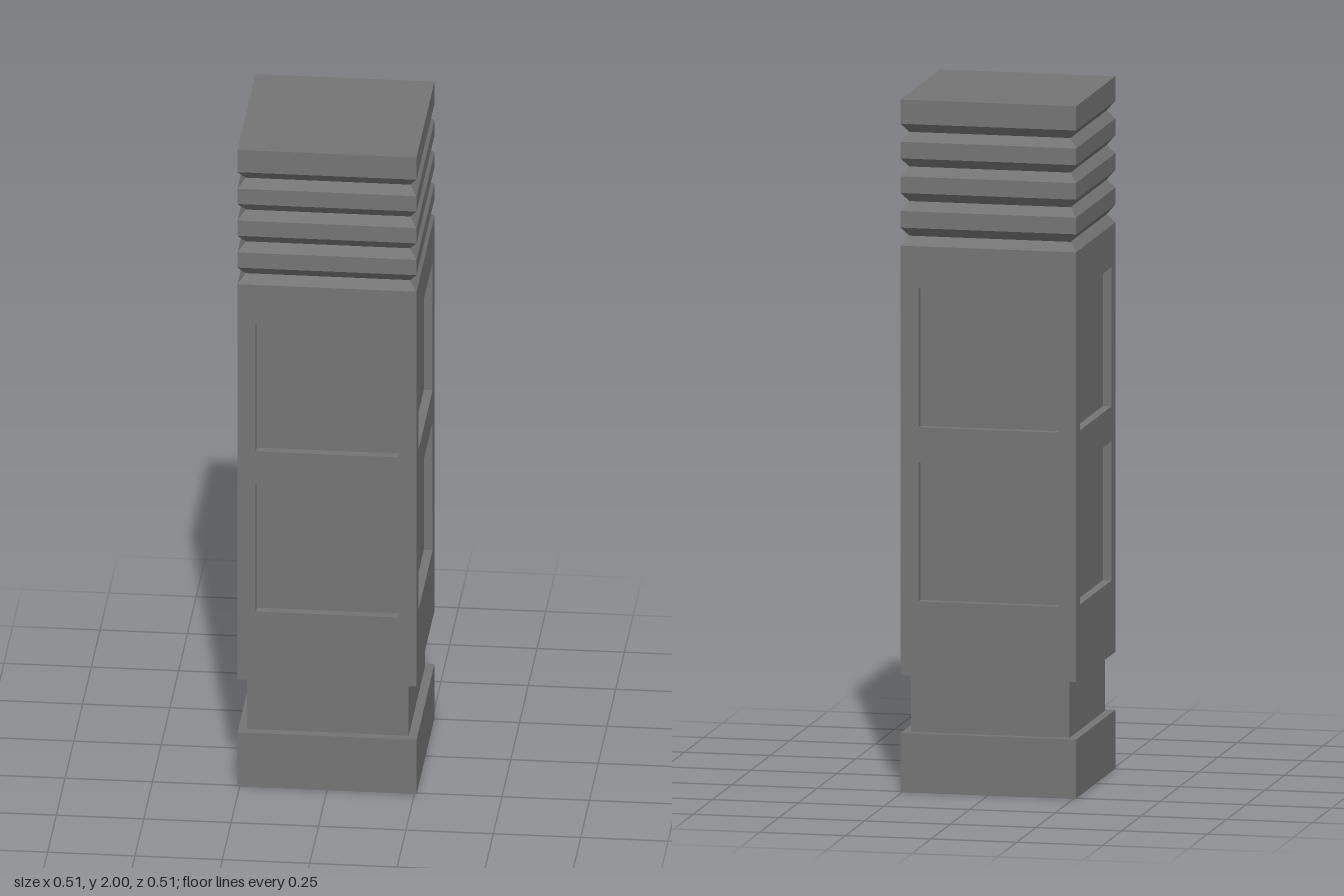
import * as THREE from 'three';

const HALF = 0.256;   // half width of the pillar
const INSET = 0.025;  // depth of the neck and panels
const GROOVE = 0.021; // depth of the crown grooves
const BODY_BOTTOM = 0.337, BODY_TOP = 1.578;

const material = new THREE.MeshStandardMaterial({ color: 0x757575, flatShading: true });

function addMesh(parent, name, geometry) {
  const mesh = new THREE.Mesh(geometry, material);
  mesh.name = name;
  parent.add(mesh);
  return mesh;
}

function addBlock(parent, name, half, y0, y1) {
  const block = addMesh(parent, name, new THREE.BoxGeometry(half * 2, y1 - y0, half * 2));
  block.position.y = (y0 + y1) / 2;
}

function rectangle(path, half, y0, y1) {
  path.moveTo(-half, y0);
  path.lineTo(half, y0);
  path.lineTo(half, y1);
  path.lineTo(-half, y1);
  path.closePath();
  return path;
}

// One wall with two panel openings, its ends mitred to meet the next wall
function wallGeometry() {
  const shape = rectangle(new THREE.Shape(), HALF, BODY_BOTTOM, BODY_TOP);
  for (const y of [0.552, 1.055]) {
    shape.holes.push(rectangle(new THREE.Path(), 0.204, y, y + 0.402));
  }
  const geometry = new THREE.ExtrudeGeometry(shape, { depth: INSET, bevelEnabled: false });
  const pos = geometry.attributes.position;
  for (let i = 0; i < pos.count; i++) {
    const x = pos.getX(i);
    if (Math.abs(x) > HALF - 0.001 && pos.getZ(i) < INSET / 2) {
      pos.setX(i, Math.sign(x) * (HALF - INSET));
    }
  }
  geometry.translate(0, 0, HALF - INSET);
  geometry.computeVertexNormals();
  return geometry;
}

// Square crown with four V-shaped grooves
function crownGeometry() {
  const profile = [];
  const add = (half, y) => profile.push(new THREE.Vector2(half * Math.SQRT2, y));
  for (let i = 0; i < 4; i++) {
    const y = BODY_TOP + i * 0.1;
    add(HALF, y);
    add(HALF - GROOVE, y + 0.026);
    add(HALF, y + 0.052);
  }
  add(HALF, 2);
  add(0, 2);
  const geometry = new THREE.LatheGeometry(profile, 4).toNonIndexed();
  geometry.rotateY(Math.PI / 4);
  geometry.computeVertexNormals();
  return geometry;
}

export function createModel() {
  const pillar = new THREE.Group();
  pillar.name = 'pillar';

  addBlock(pillar, 'base', HALF, 0, 0.17);
  addBlock(pillar, 'neck', HALF - INSET, 0.17, BODY_BOTTOM);

  // Body: a core forming the recessed panels, wrapped by four walls
  const body = new THREE.Group();
  body.name = 'body';
  pillar.add(body);
  addBlock(body, 'panelCore', HALF - INSET, BODY_BOTTOM, BODY_TOP);
  const wall = wallGeometry();
  ['frontWall', 'leftWall', 'backWall', 'rightWall'].forEach((name, i) => {
    addMesh(body, name, wall).rotation.y = i * Math.PI / 2;
  });

  addMesh(pillar, 'groovedCrown', crownGeometry());
  return pillar;
}
